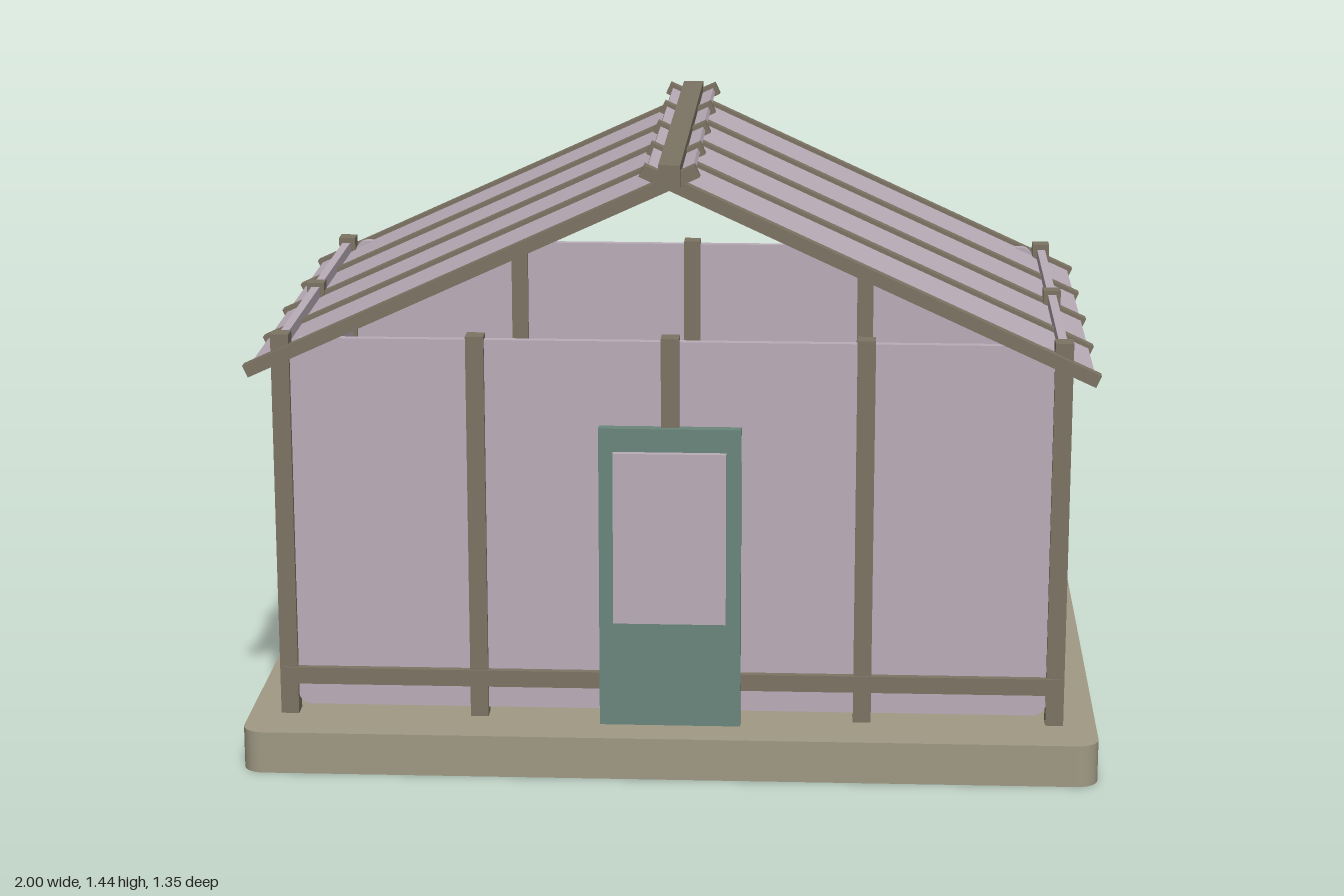
import * as THREE from 'three';
import { RoundedBoxGeometry } from 'three/addons/geometries/RoundedBoxGeometry.js';

const mat = (color) => new THREE.MeshStandardMaterial({ color });
const stone = mat(0xa09a84), wood = mat(0x7d7464), pane = mat(0xbbaeb9);
const doorGreen = mat(0x6a877c), crate = mat(0xb08048), leaf = mat(0x7a9f66);

export function createModel() {
  const model = new THREE.Group();

  const add = (name, geometry, material, x, y, z, parent = model) => {
    const mesh = new THREE.Mesh(geometry, material);
    mesh.name = name;
    mesh.position.set(x, y, z);
    parent.add(mesh);
    return mesh;
  };
  const box = (name, material, w, h, d, x, y, z, parent) =>
    add(name, new THREE.BoxGeometry(w, h, d), material, x, y, z, parent);

  // Upright slab with rounded corners, centred on its own origin
  const slab = (w, h, depth, r) => {
    const s = new THREE.Shape();
    const x = w / 2 - r, y = h / 2 - r;
    s.absarc(x, y, r, 0, Math.PI / 2);
    s.absarc(-x, y, r, Math.PI / 2, Math.PI);
    s.absarc(-x, -y, r, Math.PI, Math.PI * 1.5);
    s.absarc(x, -y, r, Math.PI * 1.5, Math.PI * 2);
    s.closePath();
    return new THREE.ExtrudeGeometry(s, { depth, bevelEnabled: false, curveSegments: 6 })
      .translate(0, 0, -depth / 2);
  };

  // Floor
  add('floorSlab', slab(2, 1.35, 0.1, 0.05).rotateX(Math.PI / 2), stone, 0, 0.05, 0);

  // Wall panes, posts and lower rails
  for (const s of [1, -1]) {
    add('endWallPane', slab(1.76, 0.89, 0.02, 0.03), pane, 0, 0.575, s * 0.543);
    add('sideWallPane', slab(1.06, 0.89, 0.02, 0.03).rotateY(Math.PI / 2), pane, s * 0.9, 0.575, 0);
    box('lowerRail', wood, 1.83, 0.04, 0.02, 0, 0.205, s * 0.56);
    for (const x of [-0.9, -0.45, 0, 0.45, 0.9])
      box('endWallPost', wood, 0.042, 0.92, 0.046, x, 0.57, s * 0.543);
    box('sideWallPost', wood, 0.042, 0.92, 0.042, s * 0.9, 0.57, 0);
  }

  // Door with its raised window
  const door = new THREE.Group();
  door.name = 'door';
  model.add(door);
  box('doorLeaf', doorGreen, 0.33, 0.72, 0.03, 0, 0.46, 0.565, door);
  box('doorWindow', pane, 0.262, 0.41, 0.02, 0, 0.56, 0.587, door);

  // Two roof slopes whose rafters cross over the ridge
  const slope = 0.459, xOver = -0.063, xEave = 0.978;
  const angle = Math.atan(slope), mid = (xOver + xEave) / 2;
  const length = (xEave - xOver) / Math.cos(angle);
  for (const s of [1, -1]) {
    const roof = new THREE.Group();
    roof.name = s > 0 ? 'leftRoof' : 'rightRoof';
    roof.position.set(s * mid, 1.395 - slope * mid, 0);
    roof.rotation.z = -s * angle;
    model.add(roof);
    box('roofPane', pane, length - 0.02, 0.012, 1.14, 0, 0, 0, roof);
    for (let i = -2; i <= 2; i++)
      box('rafter', wood, length, 0.03, 0.03, 0, 0, i * 0.286, roof);
  }
  box('ridgeBeam', wood, 0.05, 0.05, 1.18, 0, 1.413, 0);

  // Planters along both sides, each with two blocky seedlings
  for (const sx of [1, -1]) for (const sz of [1, -1]) {
    const planter = new THREE.Group();
    planter.name = 'planter';
    planter.position.set(sx * 0.6, 0, sz * 0.212);
    model.add(planter);
    box('planterFoot', crate, 0.14, 0.02, 0.14, 0, 0.105, 0, planter);
    add('planterBox', new RoundedBoxGeometry(0.3, 0.41, 0.41, 2, 0.015), crate, 0, 0.315, 0, planter);
    for (const z of [-0.105, 0.105]) {
      box('plantStem', leaf, 0.03, 0.18, 0.03, 0, 0.61, z, planter);
      box('upperLeaf', leaf, 0.1, 0.035, 0.09, 0.045, 0.698, z, planter);
    }
  }

  return model;
}
